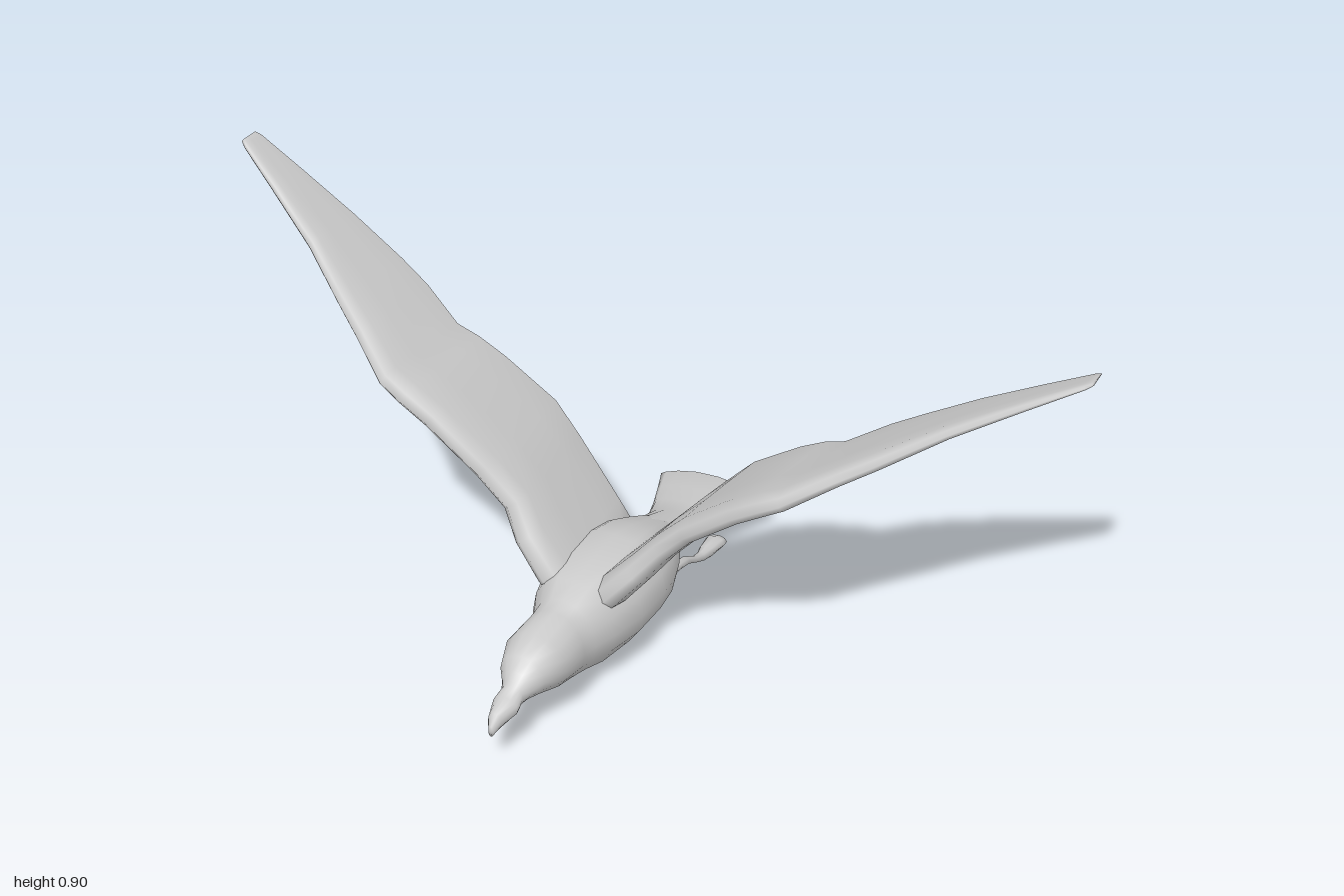
import * as THREE from 'three';

const plumage = new THREE.MeshStandardMaterial({ color: 0xcccccc });
plumage.name = 'plumageGrey';

// Closed skin over equal-sized rings of [x, y, z]; side -1 mirrors it in x
function loft(name, rings, side = 1) {
  if (side < 0) rings = rings.map(r => r.map(([x, y, z]) => [-x, y, z]).reverse());
  const n = rings[0].length, pos = rings.flat(2), index = [];
  for (let i = 0; i < rings.length - 1; i++) {
    for (let j = 0; j < n; j++) {
      const k = (j + 1) % n;
      const a = i * n + j, b = i * n + k, c = a + n, d = b + n;
      index.push(a, c, b, b, c, d);
    }
  }
  // end caps
  [0, rings.length - 1].forEach((r, end) => {
    const centre = pos.length / 3;
    for (let axis = 0; axis < 3; axis++) {
      pos.push(rings[r].reduce((sum, p) => sum + p[axis], 0) / n);
    }
    for (let j = 0; j < n; j++) {
      const a = r * n + j, b = r * n + (j + 1) % n;
      index.push(centre, ...(end ? [b, a] : [a, b]));
    }
  });
  const geometry = new THREE.BufferGeometry();
  geometry.setAttribute('position', new THREE.Float32BufferAttribute(pos, 3));
  geometry.setIndex(index);
  geometry.computeVertexNormals();
  const mesh = new THREE.Mesh(geometry, plumage);
  mesh.name = name;
  return mesh;
}

// Elliptical ring facing z; flat levels the top, droop lowers the sides, sweep moves them forward
function oval(z, bottom, top, halfWidth, { x = 0, n = 16, flat = 1, droop = 0, sweep = 0 } = {}) {
  return Array.from({ length: n }, (_, j) => {
    const a = (j / n) * Math.PI * 2, c = Math.cos(a), s = Math.min(Math.sin(a), flat);
    const height = (top - bottom) / (1 + flat);
    return [x + halfWidth * c, bottom + (1 + s) * height - droop * c * c, z + sweep * c * c];
  });
}

// Wing section outline: chord fraction from the leading edge, thickness factor
const AIRFOIL = [
  [0, 0], [0.04, 0.65], [0.15, 1], [0.4, 0.8], [0.75, 0.4], [1, 0.08],
  [0.99, -0.08], [0.75, -0.3], [0.4, -0.6], [0.15, -0.85], [0.04, -0.6],
];

// x, y, leading z, trailing z, half thickness, drop of the trailing edge
const WING = [
  [0.03, 0.175, 0.165, -0.165, 0.036, 0],
  [0.075, 0.228, 0.168, -0.172, 0.038, 0],
  [0.135, 0.303, 0.16, -0.181, 0.034, 0.005],
  [0.18, 0.36, 0.13, -0.188, 0.031, 0.01],
  [0.245, 0.437, 0.145, -0.195, 0.028, 0.016],
  [0.36, 0.535, 0.158, -0.178, 0.027, 0.025],
  [0.42, 0.578, 0.165, -0.168, 0.026, 0.029],
  [0.47, 0.607, 0.16, -0.16, 0.024, 0.035],
  [0.56, 0.66, 0.103, -0.187, 0.021, 0.03],
  [0.63, 0.698, 0.06, -0.196, 0.019, 0.025],
  [0.75, 0.768, -0.015, -0.198, 0.015, 0.018],
  [0.88, 0.836, -0.08, -0.199, 0.011, 0.01],
  [0.985, 0.889, -0.132, -0.199, 0.007, 0.003],
  [0.998, 0.895, -0.142, -0.195, 0.004, 0.002],
];

function wingRings() {
  return WING.map(([x, y, lead, trail, t, drop], i) => {
    const p = WING[Math.max(i - 1, 0)], q = WING[Math.min(i + 1, WING.length - 1)];
    const dx = q[0] - p[0], dy = q[1] - p[1], len = Math.hypot(dx, dy);
    return AIRFOIL.map(([u, v]) => [
      x - (v * t * dy) / len,
      y + (v * t * dx) / len - drop * u,
      lead + (trail - lead) * u,
    ]);
  });
}

export function createModel() {
  const bird = new THREE.Group();
  bird.name = 'flyingBird';

  // Beak, head and trunk: z, bottom, top, half width, level of the flat back
  const body = [
    [0.52, 0.086, 0.112, 0.006], [0.503, 0.094, 0.136, 0.016],
    [0.46, 0.1, 0.147, 0.03], [0.43, 0.105, 0.16, 0.026],
    [0.41, 0.107, 0.178, 0.036], [0.385, 0.104, 0.203, 0.054],
    [0.33, 0.084, 0.224, 0.075], [0.25, 0.054, 0.229, 0.074],
    [0.21, 0.04, 0.233, 0.078], [0.165, 0.03, 0.25, 0.1, 0.924],
    [0.08, 0.028, 0.258, 0.122, 0.924], [-0.02, 0.026, 0.254, 0.123, 0.924],
    [-0.09, 0.025, 0.236, 0.112, 0.924], [-0.15, 0.036, 0.208, 0.09, 0.924],
    [-0.2, 0.052, 0.183, 0.066, 0.924], [-0.25, 0.071, 0.155, 0.05],
    [-0.3, 0.09, 0.128, 0.03],
  ];
  bird.add(loft('body', body.map(([z, b, t, w, flat]) => oval(z, b, t, w, { flat }))));

  // Fanned tail: z, bottom, top, half width, droop, sweep
  const tail = [
    [-0.15, 0.11, 0.2, 0.06, 0.008, 0], [-0.2, 0.095, 0.185, 0.06, 0.008, 0],
    [-0.3, 0.092, 0.137, 0.067, 0.01, 0], [-0.36, 0.09, 0.124, 0.086, 0.013, 0],
    [-0.43, 0.086, 0.113, 0.112, 0.017, 0], [-0.512, 0.08, 0.1, 0.14, 0.021, 0.012],
    [-0.525, 0.081, 0.089, 0.135, 0.015, 0.02],
  ];
  bird.add(loft('tail', tail.map(([z, b, t, w, droop, sweep]) => oval(z, b, t, w, { droop, sweep }))));

  // Trailing legs with folded feet: z, bottom, top, half width
  const leg = [
    [-0.16, 0.068, 0.094, 0.012], [-0.2, 0.064, 0.086, 0.012],
    [-0.24, 0.052, 0.073, 0.01], [-0.285, 0.026, 0.044, 0.008],
    [-0.315, 0.011, 0.036, 0.011], [-0.34, 0.007, 0.037, 0.018],
    [-0.385, 0.004, 0.034, 0.024], [-0.405, 0.002, 0.024, 0.02],
    [-0.42, 0, 0.008, 0.01],
  ];

  for (const [label, side] of [['left', 1], ['right', -1]]) {
    bird.add(loft(label + 'Wing', wingRings(), side));
    bird.add(loft(label + 'Leg', leg.map(s => oval(...s, { x: 0.06, n: 8 })), side));
  }
  return bird;
}
